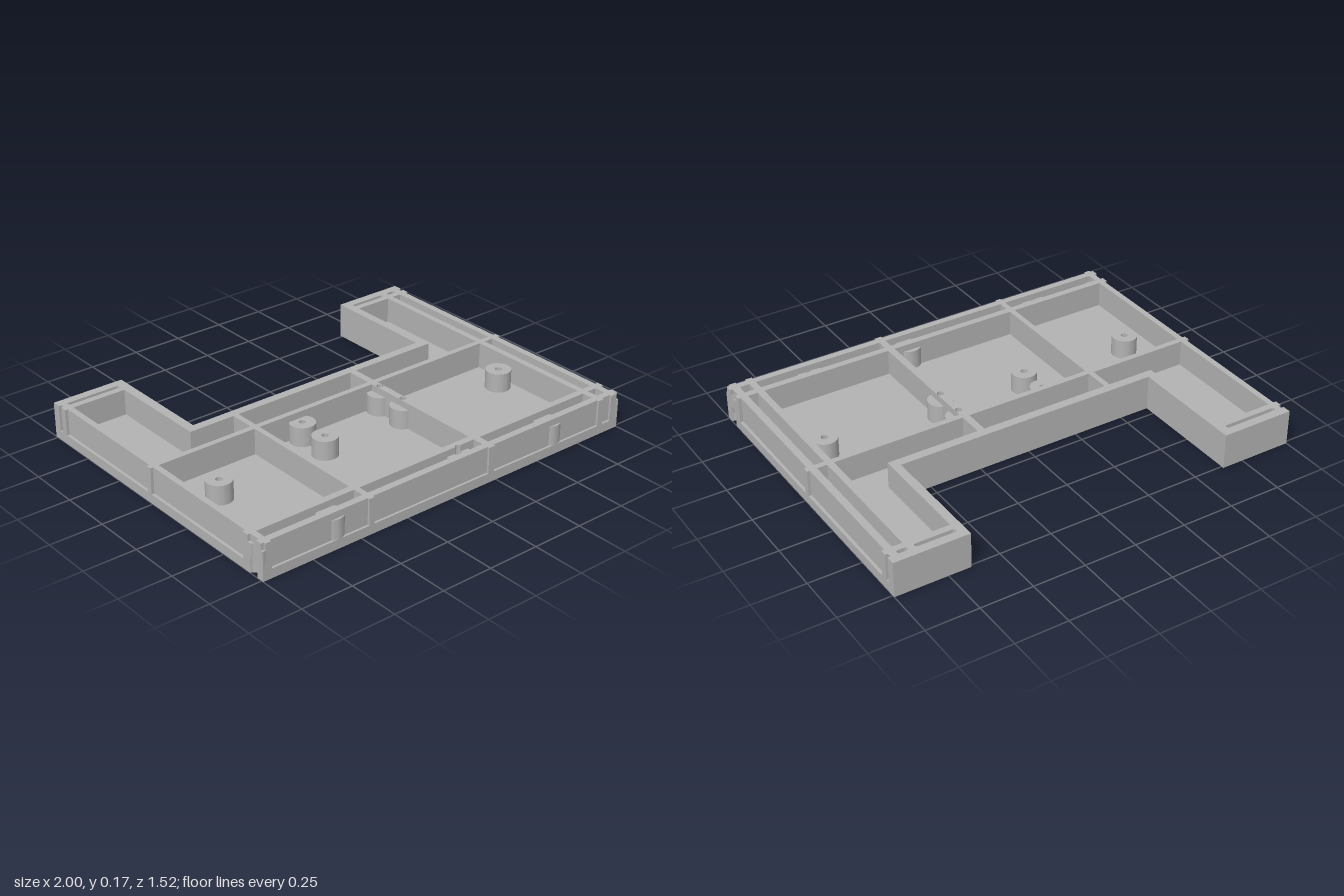
import * as THREE from 'three';
import { toCreasedNormals } from 'three/addons/utils/BufferGeometryUtils.js';

const FLOOR = 0.045, TOP = 0.17, POST_TOP = 0.138, BORE_TOP = 0.075;
const POST_R = 0.06, HOLE_R = 0.016, BORE_R = 0.023;
const FRONT = 0.76, BACK = -0.762, EDGE_Z = 0.7;

export function createModel() {
  const group = new THREE.Group();
  const grey = new THREE.MeshStandardMaterial({ color: 0xb2b2b2 });
  grey.name = 'plainGrey';

  // Plan shapes are drawn in x and -z, then raised from y0 to y1
  const raise = (name, shape, y0, y1) => {
    const geo = new THREE.ExtrudeGeometry(shape, { depth: y1 - y0, bevelEnabled: false, curveSegments: 24 });
    geo.rotateX(-Math.PI / 2).translate(0, y0, 0);
    const mesh = new THREE.Mesh(toCreasedNormals(geo, 0.6), grey);
    mesh.name = name;
    group.add(mesh);
  };
  const plan = (pts, Type = THREE.Shape) => new Type(pts.map(([x, z]) => new THREE.Vector2(x, -z)));
  const circle = (x, z, r) => new THREE.Path().absarc(x, -z, r, 0, Math.PI * 2, false);
  const rect = (x0, x1, z0, z1) => plan([[x0, z0], [x0, z1], [x1, z1], [x1, z0]], THREE.Path);
  const slot = (x0, x1, z0, z1, r = 0.009) => {
    const p = new THREE.Path();
    p.absarc(x1 - r, -z0 - r, r, 0, Math.PI / 2, false);
    p.absarc(x0 + r, -z0 - r, r, Math.PI / 2, Math.PI, false);
    p.absarc(x0 + r, -z1 + r, r, Math.PI, Math.PI * 1.5, false);
    p.absarc(x1 - r, -z1 + r, r, Math.PI * 1.5, Math.PI * 2, false);
    p.closePath();
    return p;
  };

  const posts = [[-0.8, 0.2], [0.797, 0.2], [-0.225, 0.03], [-0.225, 0.187], [0.22, 0.03], [0.22, 0.187],
    [-0.615, EDGE_Z], [0.61, EDGE_Z], [0.11, 0.668]];
  const cutout = [[0.643, BACK], [0.643, -0.2], [-0.645, -0.2], [-0.645, BACK]];

  // Floor plate with bores, and half bores on both side edges
  const halfBore = (s) => Array.from({ length: 17 }, (_, i) => {
    const a = (i / 16) * Math.PI;
    return [s * (1 - BORE_R * Math.sin(a)), EDGE_Z + s * BORE_R * Math.cos(a)];
  });
  const floor = plan([[-1, FRONT], [1, FRONT], ...halfBore(1), [1, BACK], ...cutout, [-1, BACK], ...halfBore(-1)]);
  posts.forEach(([x, z]) => floor.holes.push(circle(x, z, BORE_R)));
  raise('floorPlate', floor, 0, FLOOR);

  // Wall outline with shallow recesses along the front and both sides
  const cols = [[-0.957, -0.46], [-0.433, 0.203], [0.237, 0.872], [0.904, 0.952]];
  const rows = [[0.663, 0.717], [-0.005, 0.63], [-0.668, -0.033], [-0.72, -0.7]];
  const zIn = 0.749, xIn = 0.986;
  const frontEdge = cols.flatMap(([a, b]) => [[a, FRONT], [a, zIn], [b, zIn], [b, FRONT]]);
  const rightEdge = rows.flatMap(([a, b]) => [[1, b], [xIn, b], [xIn, a], [1, a]]);
  const leftEdge = rightEdge.map(([x, z]) => [-x, z]).reverse();
  const walls = plan([
    [-1, zIn], [-xIn, zIn], [-xIn, FRONT], ...frontEdge, [xIn, FRONT], [xIn, zIn], [1, zIn],
    ...rightEdge, [1, BACK], ...cutout, [-1, BACK], ...leftEdge,
  ]);

  // Pockets between the ribs
  const bump = Array.from({ length: 13 }, (_, i) => {
    const a = 0.318 + (i / 12) * (Math.PI - 0.636);
    return [0.11 + HOLE_R * Math.cos(a), 0.668 - HOLE_R * Math.sin(a)];
  });
  cols.forEach(([a, b], i) => {
    walls.holes.push(rect(a, b, -0.005, 0.63));
    walls.holes.push(i === 1
      ? plan([[a, 0.663], [a, 0.716], [b, 0.716], [b, 0.663], ...bump], THREE.Path)
      : rect(a, b, 0.663, 0.716));
  });
  walls.holes.push(
    plan([[-0.957, -0.668], [-0.957, -0.033], [-0.46, -0.033], [-0.46, -0.157], [-0.69, -0.157], [-0.69, -0.668]], THREE.Path),
    plan([[0.684, -0.668], [0.684, -0.157], [0.237, -0.157], [0.237, -0.033], [0.872, -0.033], [0.872, -0.668]], THREE.Path),
    rect(-0.433, 0.203, -0.157, -0.033),
    rect(0.904, 0.952, -0.668, -0.033),
    slot(-0.957, -0.69, -0.72, -0.7),
    slot(0.684, 0.872, -0.72, -0.7),
    slot(0.904, 0.952, -0.72, -0.7),
    circle(0.22, 0.03, HOLE_R),
    circle(0.22, 0.187, HOLE_R),
  );
  raise('wallsAndRibs', walls, FLOOR, TOP);

  // Screw posts: wide bore below, narrow hole above
  const levels = [[FLOOR, BORE_TOP, BORE_R], [BORE_TOP, POST_TOP, HOLE_R]];
  levels.forEach(([y0, y1, r]) => {
    posts.forEach(([x, z]) => {
      const ring = new THREE.Shape().absarc(x, -z, POST_R, 0, Math.PI * 2, false);
      ring.holes.push(circle(x, z, r));
      raise('screwPost', ring, y0, y1);
    });
    // Half posts cut off at the side edges
    [1, -1].forEach((s) => {
      const a = s * Math.PI / 2, b = a + Math.PI;
      const half = new THREE.Shape();
      half.absarc(s, -EDGE_Z, POST_R, a, b, false);
      half.absarc(s, -EDGE_Z, r, b, a, true);
      half.closePath();
      raise('edgePost', half, y0, y1);
    });
  });
  return group;
}
